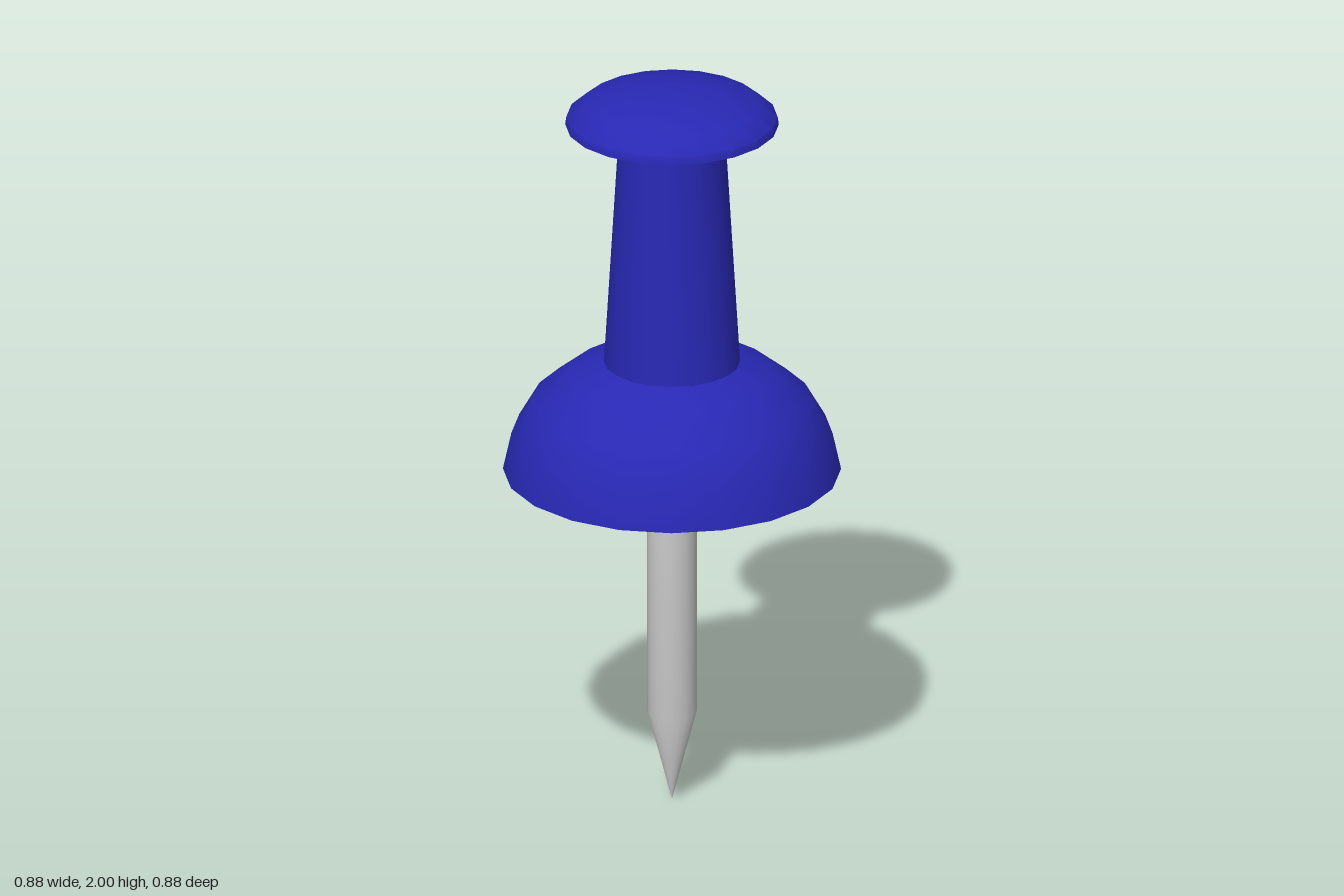
import * as THREE from 'three';
import { toCreasedNormals } from 'three/addons/utils/BufferGeometryUtils.js';

const SIDES = 20;

// Turns a profile of [radius, height] points, listed bottom to top
function turned(name, profile, material) {
  const points = profile.map(([r, y]) => new THREE.Vector2(r, y));
  const geometry = toCreasedNormals(new THREE.LatheGeometry(points, SIDES), 0.75);
  const mesh = new THREE.Mesh(geometry, material);
  mesh.name = name;
  return mesh;
}

export function createModel() {
  const plastic = new THREE.MeshStandardMaterial({ color: 0x2828b4 });
  const metal = new THREE.MeshStandardMaterial({ color: 0xcccccc });

  const group = new THREE.Group();
  group.name = 'pushPin';

  group.add(
    // Pointed metal shaft
    turned('needle', [[0, 0], [0.065, 0.25], [0.065, 0.93]], metal),
    // Domed collar with a flat underside
    turned('collar', [
      [0, 0.93], [0.44, 0.93], [0.418, 1.03], [0.363, 1.125],
      [0.265, 1.203], [0.177, 1.233],
    ], plastic),
    // Tapered grip
    turned('grip', [[0.177, 1.233], [0.138, 1.885]], plastic),
    // Shallow cap, slightly conical below
    turned('cap', [
      [0, 1.88], [0.138, 1.882], [0.278, 1.9], [0.275, 1.921],
      [0.227, 1.96], [0.13, 1.988], [0, 2],
    ], plastic),
  );
  return group;
}
